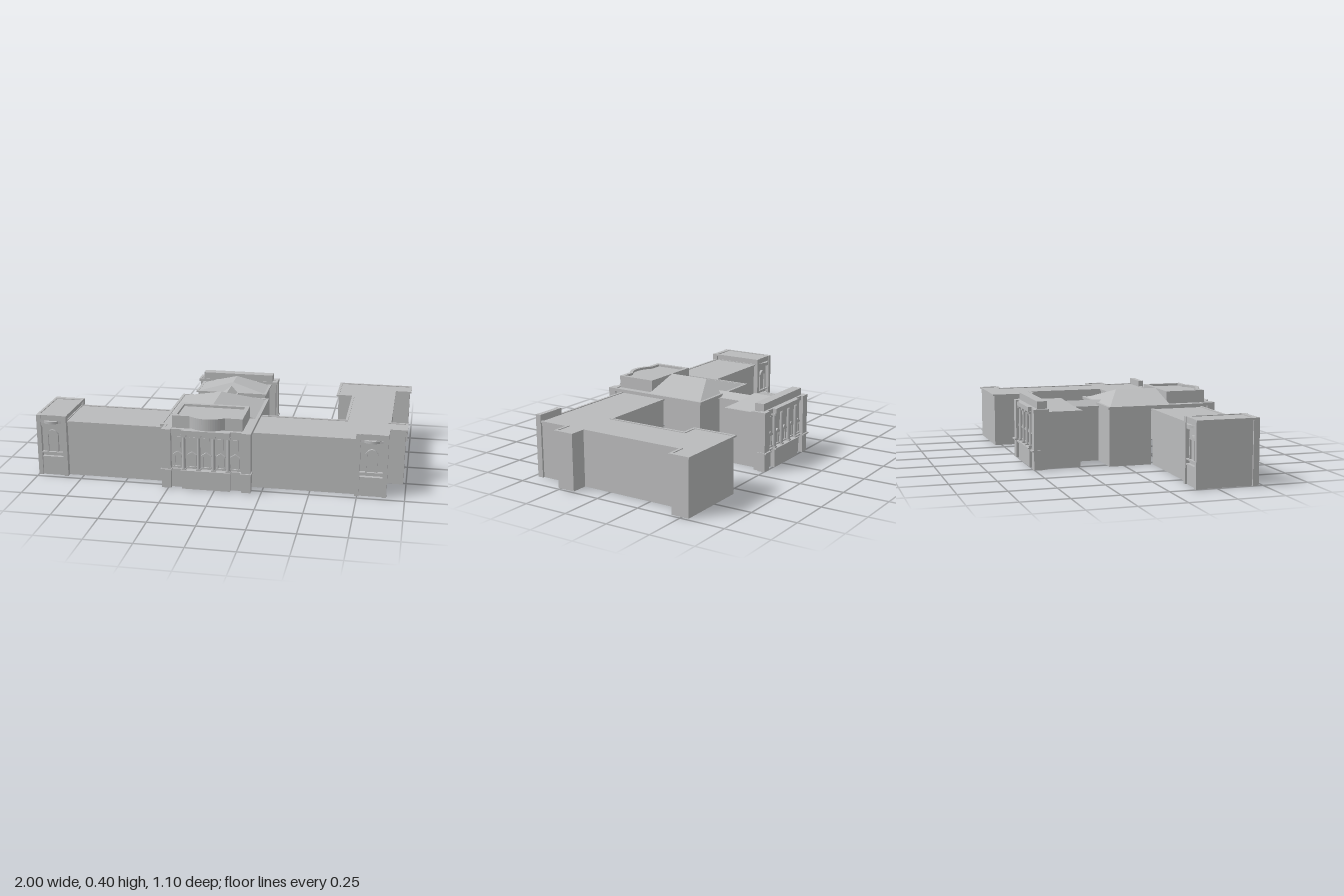
import * as THREE from 'three';

const stone = new THREE.MeshStandardMaterial({ color: 0xbabbbc, side: THREE.DoubleSide });
stone.name = 'grey stone';

function add(parent, name, geometry) {
  const mesh = new THREE.Mesh(geometry, stone);
  mesh.name = name;
  parent.add(mesh);
  return mesh;
}

// Box given by its limits
function box(parent, name, x0, x1, y0, y1, z0, z1) {
  const g = new THREE.BoxGeometry(x1 - x0, y1 - y0, z1 - z0);
  g.translate((x0 + x1) / 2, (y0 + y1) / 2, (z0 + z1) / 2);
  return add(parent, name, g);
}

const rect = (x0, x1, z0, z1) => [[x0, z0], [x1, z0], [x1, z1], [x0, z1]];

// Move a right-angled [x, z] outline outwards by d (inwards if negative)
function offset(pts, d) {
  const n = pts.length;
  const normals = pts.map((p, i) => {
    const q = pts[(i + 1) % n];
    const l = Math.hypot(q[0] - p[0], q[1] - p[1]);
    return [(q[1] - p[1]) / l, -(q[0] - p[0]) / l];
  });
  return pts.map((p, i) => {
    const a = normals[(i + n - 1) % n], b = normals[i];
    const s = a[0] * b[0] + a[1] * b[1] > 0.5 ? 0.5 : 1;
    return [p[0] + d * s * (a[0] + b[0]), p[1] + d * s * (a[1] + b[1])];
  });
}

const toShape = pts => new THREE.Shape(pts.map(([x, z]) => new THREE.Vector2(x, -z)));

// Upright extrusion of a plan shape
function slab(parent, name, shape, y0, y1) {
  const g = new THREE.ExtrudeGeometry(shape, { depth: y1 - y0, bevelEnabled: false, curveSegments: 16 });
  return add(parent, name, g.rotateX(-Math.PI / 2).translate(0, y0, 0));
}

function faces(parent, name, quads) {
  const v = [];
  for (const q of quads)
    for (let i = 1; i < q.length - 1; i++) v.push(...q[0], ...q[i], ...q[i + 1]);
  const g = new THREE.BufferGeometry();
  g.setAttribute('position', new THREE.Float32BufferAttribute(v, 3));
  g.computeVertexNormals();
  return add(parent, name, g);
}

// Hollow block: walls, flat roof and projecting cornice; open edges join neighbours
function block(parent, name, outline, y0, y1, open = []) {
  const group = new THREE.Group();
  group.name = name;
  parent.add(group);
  const wall = offset(outline, -0.01);
  const quads = [];
  wall.forEach(([x, z], i) => {
    const [u, w] = wall[(i + 1) % wall.length];
    const base = open.includes(i) ? 0.3 : 0;
    quads.push([[x, base, z], [x, y1, z], [u, y1, w], [u, base, w]].map(p => [p[0], Math.min(p[1], y1 - 0.004), p[2]]));
  });
  faces(group, 'walls', quads);
  const roof = new THREE.ShapeGeometry(toShape(wall)).rotateX(-Math.PI / 2).translate(0, y1 - 0.004, 0);
  add(group, 'flatRoof', roof);
  const ring = toShape(outline);
  ring.holes.push(toShape(offset(outline, -0.014)));
  slab(group, 'cornice', ring, y0, y1);
  return group;
}

// Roof with a ridge along z and one sloping end
function hipRoof(parent, name, x0, x1, zEave, zPeak, zEnd, y0, y1) {
  const c = (x0 + x1) / 2;
  const a = [x0, y0, zEave], b = [x1, y0, zEave], p = [c, y1, zPeak], e = [c, y1, zEnd];
  faces(parent, name, [
    [a, p, e, [x0, y0, zEnd]], [b, [x1, y0, zEnd], e, p], [a, b, p], [[x0, y0, zEnd], e, [x1, y0, zEnd]],
  ]);
}

// Five-bay columned front, its wall plane at z = 0
function portico() {
  const g = new THREE.Group();
  g.name = 'portico';
  for (const s of [-1, 1]) {
    const c = s * 0.215;
    box(g, 'endPier', c - 0.025, c + 0.025, 0, 0.33, -0.02, 0.024);
    box(g, 'pierLedge', c - 0.03, c + 0.03, 0.1, 0.108, -0.02, 0.034);
  }
  box(g, 'plinth', -0.13, 0.13, 0, 0.1, -0.01, 0.024);
  box(g, 'ledge', -0.19, 0.19, 0.1, 0.108, -0.01, 0.012);
  box(g, 'centreLedge', -0.135, 0.135, 0.1, 0.108, 0, 0.034);
  box(g, 'entablature', -0.13, 0.13, 0.305, 0.33, -0.01, 0.03);
  box(g, 'frieze', -0.19, 0.19, 0.305, 0.33, -0.01, 0.01);
  // Columns with base and capital
  for (const x of [-0.12, -0.04, 0.04, 0.12]) {
    add(g, 'column', new THREE.CylinderGeometry(0.0085, 0.0105, 0.2, 12).translate(x, 0.206, 0.013));
    box(g, 'columnBase', x - 0.012, x + 0.012, 0.108, 0.116, 0, 0.026);
    box(g, 'capital', x - 0.013, x + 0.013, 0.292, 0.305, 0, 0.027);
  }
  // Windows with pointed hoods and smaller lights above
  for (let i = -2; i <= 2; i++) {
    const x = i * 0.0775;
    for (const s of [-1, 1]) box(g, 'windowJamb', x + s * 0.018 - 0.004, x + s * 0.018 + 0.004, 0.12, 0.185, -0.005, 0.008);
    box(g, 'windowSill', x - 0.026, x + 0.026, 0.116, 0.123, -0.005, 0.012);
    box(g, 'windowHead', x - 0.026, x + 0.026, 0.183, 0.19, -0.005, 0.013);
    box(g, 'windowPane', x - 0.014, x + 0.014, 0.123, 0.183, -0.003, 0.003);
    const hood = new THREE.Shape([[-0.026, 0.19], [0.026, 0.19], [0, 0.207]].map(p => new THREE.Vector2(x + p[0], p[1])));
    add(g, 'windowHood', new THREE.ExtrudeGeometry(hood, { depth: 0.013, bevelEnabled: false }));
    box(g, 'upperPanel', x - 0.016, x + 0.016, 0.225, 0.285, -0.003, 0.004);
  }
  return g;
}

// Framed end-pavilion front with a bowed hood, its wall plane at z = 0
function pavilionFront() {
  const g = new THREE.Group();
  g.name = 'pavilionFront';
  for (const s of [-1, 1]) {
    box(g, 'pilaster', s * 0.072 - 0.012, s * 0.072 + 0.012, 0, 0.345, -0.01, 0.022);
    box(g, 'windowJamb', s * 0.028 - 0.004, s * 0.028 + 0.004, 0.13, 0.235, -0.005, 0.013);
  }
  box(g, 'fascia', -0.084, 0.084, 0.285, 0.345, -0.01, 0.018);
  box(g, 'base', -0.06, 0.06, 0, 0.1, -0.01, 0.012);
  box(g, 'lowerString', -0.062, 0.062, 0.1, 0.108, -0.01, 0.018);
  box(g, 'upperString', -0.062, 0.062, 0.127, 0.134, -0.01, 0.018);
  box(g, 'windowPane', -0.024, 0.024, 0.134, 0.235, -0.003, 0.004);
  const arch = new THREE.Shape();
  arch.moveTo(-0.034, 0.235).lineTo(0.034, 0.235).quadraticCurveTo(0, 0.285, -0.034, 0.235);
  add(g, 'windowArch', new THREE.ExtrudeGeometry(arch, { depth: 0.014, bevelEnabled: false, curveSegments: 10 }));
  const bow = new THREE.Shape();
  bow.moveTo(-0.056, 0.01).lineTo(-0.056, -0.02).lineTo(-0.04, -0.022);
  bow.quadraticCurveTo(0, -0.054, 0.04, -0.022).lineTo(0.056, -0.02).lineTo(0.056, 0.01);
  slab(g, 'bowedHood', bow, 0.3, 0.314);
  return g;
}

function place(parent, part, x, z, turned = false) {
  part.position.set(x, 0, z);
  if (turned) part.rotation.y = Math.PI;
  parent.add(part);
}

// Attic outline with a bowed front
function atticPlan(i) {
  const c = -0.045, w = 0.19 - i, s = new THREE.Shape();
  s.moveTo(c - w, -0.268 - i).lineTo(c - w, -0.495 + i).lineTo(c - 0.095, -0.495 + i);
  s.quadraticCurveTo(c, -0.57 + i, c + 0.095, -0.495 + i);
  s.lineTo(c + w, -0.495 + i).lineTo(c + w, -0.268 - i).closePath();
  return s;
}

export function createModel() {
  const model = new THREE.Group();
  model.name = 'building';

  // Wings
  block(model, 'leftWing', rect(-0.85, -0.285, 0.155, 0.458), 0.303, 0.312, [1, 3]);
  block(model, 'rightWing', [
    [0.565, -0.55], [0.995, -0.55], [0.995, -0.432], [0.903, -0.432], [0.903, 0.155], [0.995, 0.155],
    [0.995, 0.275], [0.903, 0.275], [0.903, 0.458], [0.17, 0.458], [0.17, 0.155], [0.655, 0.155],
    [0.655, -0.295], [0.565, -0.295],
  ], 0.303, 0.312, [9]);

  // End pavilions
  block(model, 'leftPavilion', rect(-1, -0.832, 0.15, 0.465), 0.333, 0.345, [1]);
  place(model, pavilionFront(), -0.915, 0.455);
  place(model, pavilionFront(), -0.915, 0.16, true);
  place(model, pavilionFront(), 0.82, 0.452);

  // Central block, hipped roof and bowed attic
  block(model, 'centralBlock', [
    [-0.31, -0.095], [0.195, -0.095], [0.195, 0.155], [0.195, 0.458], [0.195, 0.525],
    [-0.285, 0.525], [-0.285, 0.458], [-0.31, 0.458], [-0.31, 0.155],
  ], 0.314, 0.33, [2, 7]);
  place(model, portico(), -0.045, 0.515);
  hipRoof(model, 'centralRoof', -0.292, 0.175, -0.08, 0.03, 0.27, 0.326, 0.395);
  const parapet = atticPlan(0);
  parapet.holes.push(atticPlan(0.022));
  slab(model, 'atticParapet', parapet, 0.326, 0.395);
  slab(model, 'atticRoof', atticPlan(0.01), 0.326, 0.382);

  // Link corridor
  block(model, 'corridor', rect(-0.107, -0.008, -0.245, -0.075), 0.303, 0.312, [0, 2]);
  hipRoof(model, 'corridorRoof', -0.1, -0.015, -0.278, -0.278, -0.055, 0.311, 0.341);

  // Rear hall and its columned front
  block(model, 'rearHall', rect(-0.26, 0.158, -0.435, -0.225), 0.303, 0.312, [0]);
  hipRoof(model, 'rearRoof', -0.25, 0.148, -0.235, -0.29, -0.425, 0.31, 0.357);
  block(model, 'rearFrontBlock', rect(-0.285, 0.195, -0.49, -0.42), 0.314, 0.33, [2]);
  box(model, 'rearAttic', -0.255, 0.165, 0.326, 0.37, -0.478, -0.424);
  place(model, portico(), -0.045, -0.48, true);
  return model;
}
